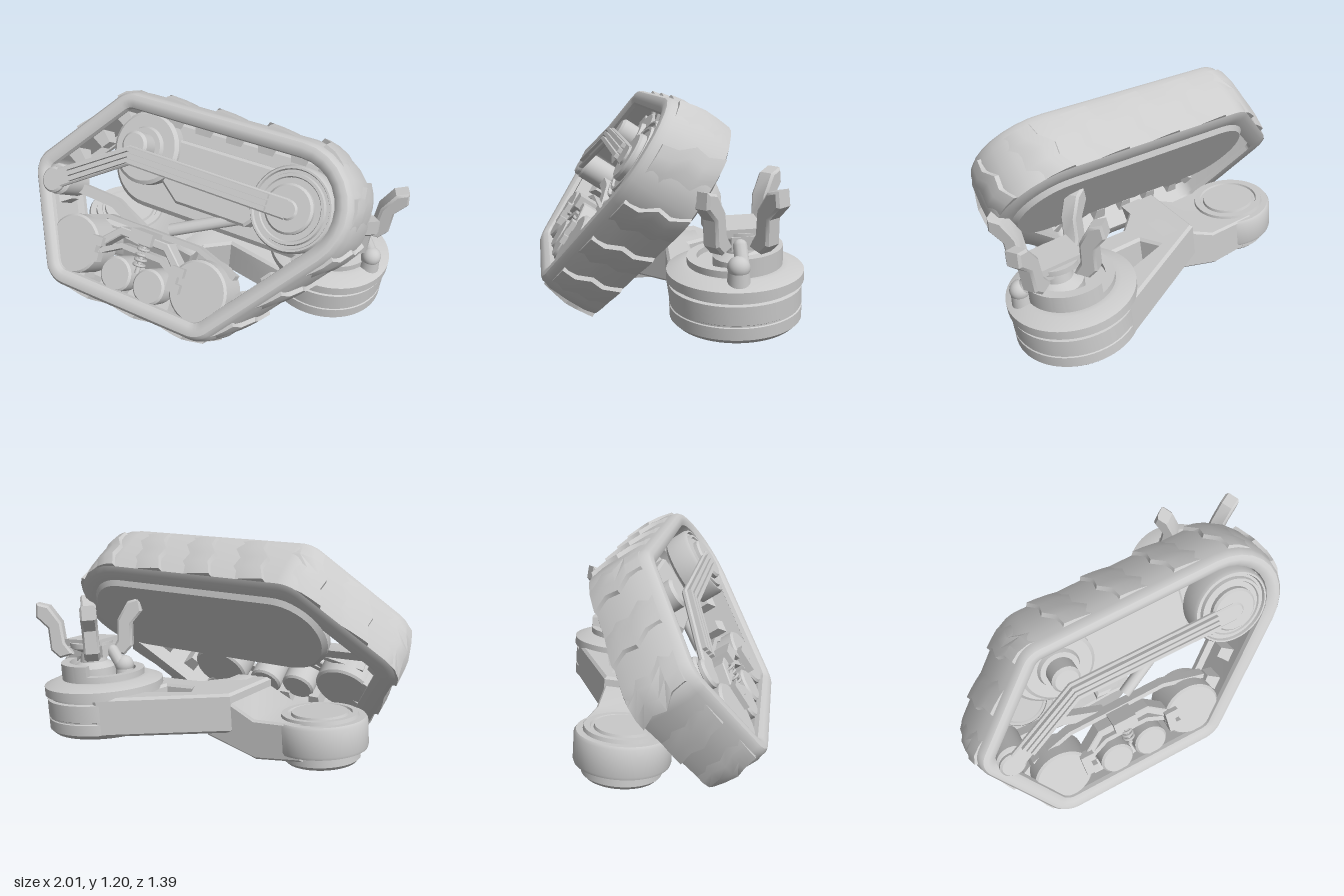
import * as THREE from 'three';
import { toCreasedNormals } from 'three/addons/utils/BufferGeometryUtils.js';

const grey = new THREE.MeshStandardMaterial({ color: 0xcccccc, side: THREE.DoubleSide });
const V = (x, y, z) => new THREE.Vector3(x, y, z);

function add(parent, name, geo, x = 0, y = 0, z = 0) {
  const m = new THREE.Mesh(geo, grey);
  m.name = name;
  m.position.set(x, y, z);
  parent.add(m);
  return m;
}
function group(parent, name, x = 0, y = 0, z = 0) {
  const g = new THREE.Group();
  g.name = name;
  g.position.set(x, y, z);
  parent.add(g);
  return g;
}

// Skin over closed cross-sections, capped unless the sweep closes on itself
function loft(sections, closed) {
  const n = sections.length, m = sections[0].length, pts = sections.flat(), idx = [];
  for (let i = 0; i < (closed ? n : n - 1); i++) for (let j = 0; j < m; j++) {
    const a = i * m + j, b = i * m + (j + 1) % m, c = ((i + 1) % n) * m + j, d = ((i + 1) % n) * m + (j + 1) % m;
    idx.push(a, c, b, b, c, d);
  }
  if (!closed) for (let j = 1; j < m - 1; j++) {
    const e = (n - 1) * m;
    idx.push(0, j, j + 1, e, e + j + 1, e + j);
  }
  let vol = 0;
  for (let i = 0; i < idx.length; i += 3) vol += pts[idx[i]].dot(pts[idx[i + 1]].clone().cross(pts[idx[i + 2]]));
  if (vol < 0) idx.reverse();
  const g = new THREE.BufferGeometry().setFromPoints(pts);
  g.setIndex(idx);
  return toCreasedNormals(g, 0.6);
}

// Convex outline around circles [x, y, r] (counter-clockwise), as points with normals
function hull(circles, steps = 10) {
  const n = circles.length, ang = circles.map((c, i) => {
    const d = circles[(i + 1) % n], dx = d[0] - c[0], dy = d[1] - c[1];
    return Math.atan2(dy, dx) - Math.acos((c[2] - d[2]) / Math.hypot(dx, dy));
  });
  return circles.flatMap(([x, y, r], i) => {
    const a0 = ang[(i + n - 1) % n];
    let sweep = (ang[i] - a0) % (2 * Math.PI);
    if (sweep < 0) sweep += 2 * Math.PI;
    return Array.from({ length: steps + 1 }, (_, k) => {
      const a = a0 + sweep * k / steps, nx = Math.cos(a), ny = Math.sin(a);
      return { x: x + r * nx, y: y + r * ny, nx, ny };
    });
  });
}
function plate(points, z0, z1, bevel = 0, holes = []) {
  const s = new THREE.Shape(points.map(([x, y]) => new THREE.Vector2(x, y)));
  holes.forEach(h => s.holes.push(new THREE.Path(h.map(([x, y]) => new THREE.Vector2(x, y)))));
  const g = new THREE.ExtrudeGeometry(s, { depth: z1 - z0 - 2 * bevel, bevelEnabled: bevel > 0, bevelSize: bevel, bevelThickness: bevel, bevelOffset: -bevel, bevelSegments: 1 });
  return toCreasedNormals(g.translate(0, 0, z0 + bevel), 0.5);
}
// Flat bar following a bent path, shifted sideways by off
function bar(path, half, z0, z1, off = 0, bevel = 0) {
  const side = s => path.map((p, i) => {
    const a = path[Math.max(i - 1, 0)], b = path[Math.min(i + 1, path.length - 1)];
    const t = Math.atan2(b[1] - a[1], b[0] - a[0]);
    return [p[0] - Math.sin(t) * (off + s), p[1] + Math.cos(t) * (off + s)];
  });
  return plate([...side(-half), ...side(half).reverse()], z0, z1, bevel);
}
const lathe = (prof, seg = 40) => toCreasedNormals(new THREE.LatheGeometry(prof.map(([r, y]) => new THREE.Vector2(r, y)), seg), 0.6);
const wheel = (prof, seg) => lathe(prof, seg).rotateX(Math.PI / 2);
const disc = (r, z0, z1, b = 0.012) => wheel([[0, z0], [r - b, z0], [r, z0 + b], [r, z1 - b], [r - b, z1], [0, z1]]);

function buildTrack(root) {
  const t = group(root, 'trackUnit', 0, 0.7, 0.335);
  t.rotation.set(-0.58, 0.06, 0, 'YXZ');
  const loop = hull([[-0.55, -0.43, 0.165], [0.29, -0.43, 0.165], [0.61, 0.24, 0.345], [-0.41, 0.425, 0.16], [-0.79, 0.02, 0.15]]);

  // Belt with a rounded front rim and a nearly flat tread
  const prof = [[-0.095, -0.03], [-0.09, -0.005], [-0.07, 0.012], [-0.045, 0.018], [-0.02, 0.012], [-0.005, -0.005], [0, -0.03], [0.012, -0.06],
    [0.02, -0.18], [0.02, -0.28], [0.012, -0.335], [-0.02, -0.35], [-0.095, -0.345], [-0.095, -0.315], [-0.055, -0.305], [-0.055, -0.04]];
  add(t, 'trackBelt', loft(loop.map(p => prof.map(([d, w]) => V(p.x + d * p.nx, p.y + d * p.ny, w))), true));

  // Point on the belt at a distance along it
  const cum = [0];
  loop.forEach((p, i) => { const q = loop[(i + 1) % loop.length]; cum.push(cum[i] + Math.hypot(q.x - p.x, q.y - p.y)); });
  const total = cum[loop.length];
  const at = (s, d, w) => {
    s = ((s % total) + total) % total;
    let i = 0;
    while (cum[i + 1] <= s) i++;
    const p = loop[i], q = loop[(i + 1) % loop.length], k = (s - cum[i]) / (cum[i + 1] - cum[i]);
    const mix = a => p[a] + (q[a] - p[a]) * k;
    return V(mix('x') + d * mix('nx'), mix('y') + d * mix('ny'), w);
  };

  // Overlapping zigzag tread plates outside, guide teeth inside
  const zig = [[-0.035, 0, 0], [-0.11, 0.01, 0.016], [-0.18, 0.065, 0.02], [-0.25, 0.055, 0.02], [-0.335, 0.1, 0.012]];
  const step = [[0, -0.03], [-0.025, 0.022], [-0.08, 0.018], [-0.14, 0.01], [-0.2, -0.002], [-0.2, -0.03], [-0.1, -0.03]];
  const count = 16;
  for (let i = 0; i < count; i++) {
    const s = i * total / count + 0.06;
    add(t, 'treadPlate', loft(zig.map(([w, o, d]) => step.map(([a, h]) => at(s + o + a, d + h, w)))));
  }
  for (let i = 0; i < 26; i++) {
    const s = i * total / 26;
    const ring = (h, d, a) => [at(s - h, d, -0.18 - a), at(s + h, d, -0.18 - a), at(s + h, d, -0.18 + a), at(s - h, d, -0.18 + a)];
    add(t, 'guideTooth', loft([ring(0.042, -0.05, 0.06), ring(0.03, -0.13, 0.035)]));
  }

  // Closed back panel and inner housing
  const pill = hull([[-0.35, 0.23, 0.27], [0.61, 0.23, 0.27]], 20).map(p => [p.x, p.y]);
  add(t, 'backPanel', plate(pill, -0.37, -0.28, 0.025));
  add(t, 'innerHousing', plate([[-0.2, 0.14], [-0.08, 0.05], [0.36, 0.05], [0.44, 0.14], [0.44, 0.4], [-0.2, 0.4]], -0.29, -0.16, 0.015));

  // Drive wheel, idler and end roller
  add(t, 'driveWheel', wheel([[0, -0.16], [0.2, -0.16], [0.225, -0.14], [0.225, -0.02], [0.215, 0], [0.205, 0], [0.2, -0.015], [0.185, -0.015], [0.18, 0.005], [0.165, 0.005], [0.16, -0.005], [0, -0.005]], 48), 0.64, 0.23);
  add(t, 'driveAxle', disc(0.1, -0.29, -0.15), 0.64, 0.23);
  add(t, 'driveHub', disc(0.13, -0.02, 0.03), 0.64, 0.23);
  add(t, 'idlerWheel', wheel([[0, -0.28], [0.15, -0.28], [0.15, -0.2], [0.21, -0.2], [0.21, -0.14], [0.19, -0.125], [0.12, -0.125], [0.11, -0.1], [0.08, -0.1], [0.08, -0.01], [0.065, 0.005], [0, 0.005]]), -0.34, 0.3);
  add(t, 'endRoller', disc(0.09, -0.2, 0.01), -0.77, -0.02);

  // Bent link with raised ribs
  const link = [[-0.78, -0.03], [-0.33, 0.24], [0.64, 0.225]];
  add(t, 'linkArm', bar(link, 0.055, 0.01, 0.04, 0, 0.008));
  add(t, 'linkEnd', disc(0.055, 0.01, 0.04), 0.64, 0.225);
  add(t, 'linkEnd', disc(0.075, 0, 0.04), -0.78, -0.03);
  for (const o of [-0.032, 0, 0.032]) add(t, 'linkRib', bar([[-0.68, 0.03], link[1], [0.53, 0.227]], 0.011, 0.035, 0.062, o));

  // Road wheels on a sprung bogie
  for (const x of [-0.56, 0.27]) add(t, 'largeRoadWheel', disc(0.172, -0.22, -0.02), x, -0.345);
  for (const x of [-0.24, -0.02]) add(t, 'smallRoadWheel', disc(0.1, -0.2, -0.02), x, -0.42);
  add(t, 'bogieFrame', bar([[-0.43, -0.32], [-0.28, -0.18], [0.02, -0.18], [0.17, -0.32]], 0.025, -0.11, -0.02, 0, 0.006));
  add(t, 'bogieBrace', bar([[-0.39, -0.33], [-0.26, -0.26], [0, -0.26], [0.13, -0.33]], 0.015, -0.11, -0.04));
  add(t, 'bogieBlock', new THREE.BoxGeometry(0.14, 0.07, 0.12), -0.13, -0.17, -0.05);
  for (const s of [-1, 1]) {
    add(t, 'axleBracket', plate([[0, -0.07], [0.08, -0.07], [0.08, -0.02], [0.05, -0.02], [0.05, 0.02], [0.08, 0.02], [0.08, 0.07], [0, 0.07]], -0.04, 0.01), -0.13 + s * 0.27 - 0.04, -0.32);
    add(t, 'upperStrut', bar([[-0.13, -0.14], [-0.13 + s * 0.3, -0.14], [-0.13 + s * 0.55, -0.22]], 0.014, -0.16, -0.1));
  }
  for (let i = 0; i < 5; i++) add(t, 'springCoil', new THREE.TorusGeometry(0.03, 0.009, 6, 16).rotateX(Math.PI / 2), -0.13, -0.21 - i * 0.03, -0.06);
  add(t, 'springRod', new THREE.CylinderGeometry(0.014, 0.014, 0.2, 12), -0.13, -0.28, -0.06);

  // Diagonal tie tube and left side brace
  add(t, 'tieTube', new THREE.TubeGeometry(new THREE.LineCurve3(V(-0.05, -0.1, -0.15), V(0.42, 0.14, -0.24)), 1, 0.035, 14));
  add(t, 'sideBrace', bar([[-0.82, -0.04], [-0.45, -0.06], [-0.2, -0.17]], 0.03, -0.2, -0.14));
}

function buildGripper(arm) {
  const g = group(arm, 'gripper', 0.67, 0.42, -0.37);
  add(g, 'gripperNeck', lathe([[0, 0], [0.13, 0], [0.13, 0.05], [0.08, 0.08], [0.07, 0.14], [0.13, 0.17], [0.13, 0.2], [0, 0.2]], 20));
  add(g, 'palmPlate', new THREE.BoxGeometry(0.24, 0.04, 0.2), 0, 0.2, 0);
  add(g, 'palmBlock', new THREE.BoxGeometry(0.26, 0.07, 0.12), 0, 0.15, 0);
  const finger = [[0.11, 0.13], [0.19, 0.11], [0.24, 0.16], [0.245, 0.29], [0.31, 0.36], [0.3, 0.44], [0.23, 0.42], [0.165, 0.32], [0.155, 0.2]];
  for (const angle of [0.55, 2.3, 3.7, 5.5]) {
    const h = group(g, 'fingerUnit');
    h.rotation.y = angle;
    add(h, 'finger', plate(finger, -0.045, 0.045, 0.012));
  }
  for (const s of [-1, 1]) {
    add(g, 'knuckleBall', new THREE.SphereGeometry(0.055, 20, 14), s * 0.2, 0.06, 0.04);
    add(g, 'knucklePost', new THREE.CylinderGeometry(0.05, 0.06, 0.1, 20), s * 0.2, 0, 0.04);
    add(g, 'knuckleLink', new THREE.CapsuleGeometry(0.035, 0.08, 4, 12).rotateZ(s * 0.6), s * 0.16, 0.11, 0.02);
  }
}

function buildArm(root) {
  const a = group(root, 'swingArm');
  a.rotation.set(0.045, 0, -0.1);
  // Drum with a groove, raised lip and recessed top
  add(a, 'drum', lathe([[0, 0.085], [0.18, 0.085], [0.19, 0.095], [0.22, 0.095], [0.31, 0.115], [0.335, 0.14], [0.335, 0.2], [0.329, 0.204], [0.329, 0.212], [0.335, 0.216], [0.335, 0.31], [0.316, 0.315],
    [0.316, 0.33], [0.345, 0.335], [0.345, 0.385], [0.27, 0.415], [0.24, 0.415], [0.24, 0.45], [0.19, 0.45], [0.19, 0.42], [0, 0.42]], 56), 0.61, 0, -0.36);
  const collar = new THREE.Shape();
  collar.absarc(0, 0, 0.24, 0.1, 1.9, false);
  collar.absarc(0, 0, 0.19, 1.9, 0.1, true);
  add(a, 'raisedCollar', toCreasedNormals(new THREE.ExtrudeGeometry(collar, { depth: 0.1, bevelEnabled: false, curveSegments: 20 }), 0.5).rotateX(-Math.PI / 2), 0.61, 0.41, -0.36);

  // Slotted arm plate and its step down to the pivot
  const plan = [[-0.22, -0.28], [0.43, -0.64], [0.61, -0.6], [0.65, -0.1], [0.52, -0.04], [0.12, -0.06], [-0.08, 0.16], [-0.22, 0.16]];
  const slot = [[0.03, -0.31], [0.09, -0.2], [0.27, -0.2], [0.3, -0.4]];
  add(a, 'armPlate', plate(plan, 0, 0.22, 0.015, [slot]).rotateX(Math.PI / 2), 0, 0.35, 0);
  add(a, 'armStep', plate([[0, 0.35], [-0.12, 0.35], [-0.36, 0.22], [-0.64, 0.22], [-0.64, 0.02], [-0.36, 0], [-0.05, 0.1]], -0.28, 0.17, 0.012));

  // Pivot with stepped caps on both faces
  add(a, 'pivotDisc', lathe([[0, -0.03], [0.19, -0.03], [0.21, -0.01], [0.21, 0.04], [0.25, 0.045], [0.255, 0.06], [0.255, 0.2], [0.245, 0.215], [0.21, 0.215], [0.205, 0.235], [0.175, 0.235], [0.17, 0.225], [0.155, 0.225], [0.15, 0.24], [0, 0.24]], 48), -0.64, 0, -0.05);
  buildGripper(a);
}

export function createModel() {
  const root = new THREE.Group();
  root.name = 'trackAndArm';
  buildTrack(root);
  buildArm(root);
  return root;
}
